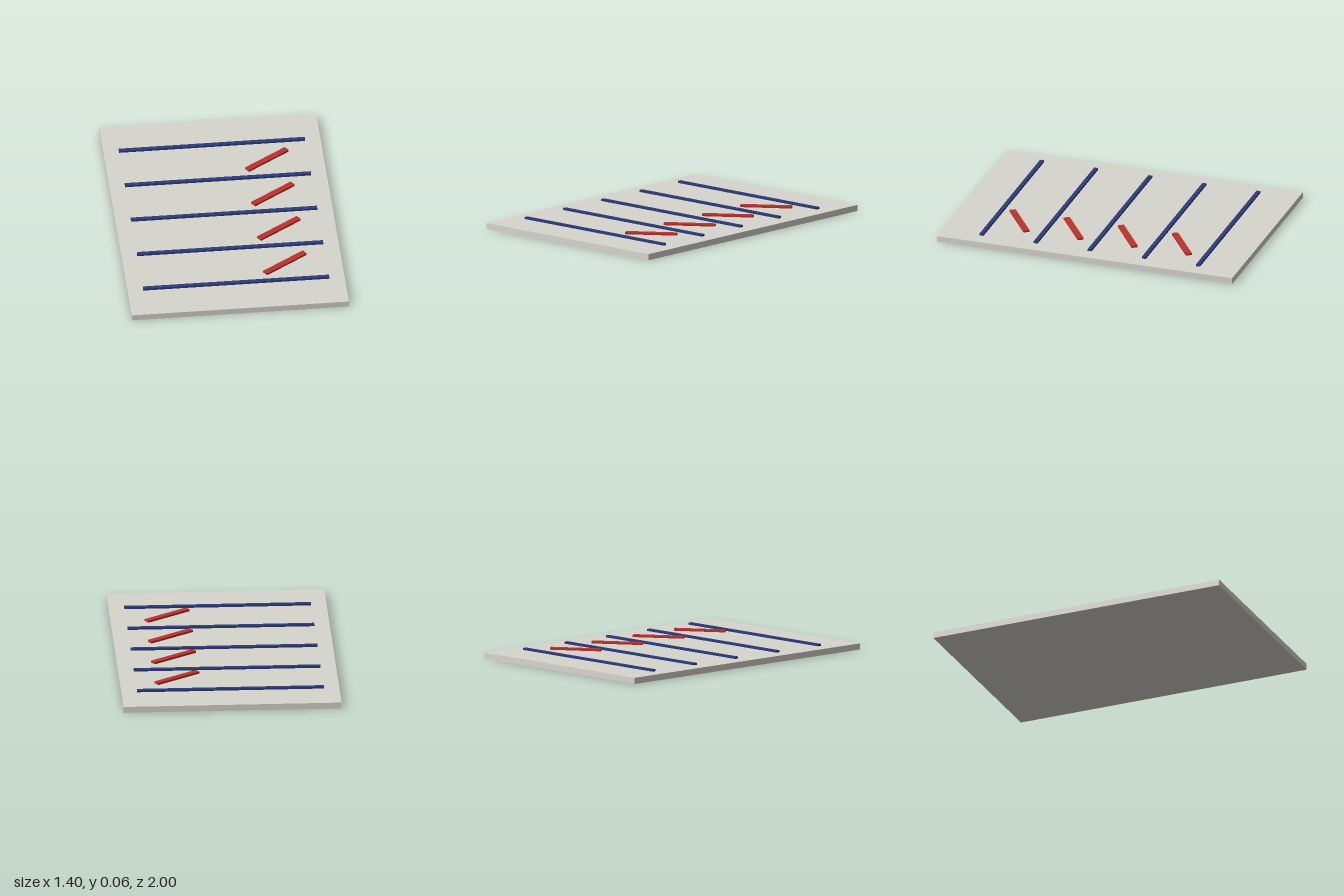
import * as THREE from 'three';

export function createModel() {
  const group = new THREE.Group();
  const boardMat = new THREE.MeshStandardMaterial({ color: 0xd8d6ce });
  const lineMat = new THREE.MeshStandardMaterial({ color: 0x2c3a78 });
  const markMat = new THREE.MeshStandardMaterial({ color: 0xc0322b });

  function addBox(name, [w, h, d], [x, y, z], material, turn = 0) {
    const mesh = new THREE.Mesh(new THREE.BoxGeometry(w, h, d), material);
    mesh.name = name;
    mesh.position.set(x, y, z);
    mesh.rotation.y = turn;
    group.add(mesh);
  }

  // Flat base board
  addBox('board', [1.4, 0.04, 2], [0, 0.02, 0], boardMat);

  // Five raised lines across the board
  const spacing = 0.3667;
  for (let i = 0; i < 5; i++) {
    addBox(`line${i + 1}`, [1.2, 0.0133, 0.0267], [0, 0.0467, (i - 2) * spacing], lineMat);
  }

  // Slanted marks, one in each gap, set slightly above the board
  for (let i = 0; i < 4; i++) {
    addBox(`slantedMark${i + 1}`, [0.333, 0.0133, 0.04],
      [0.333, 0.0533, (i - 2) * spacing + 0.2], markMat, 0.6);
  }

  return group;
}
